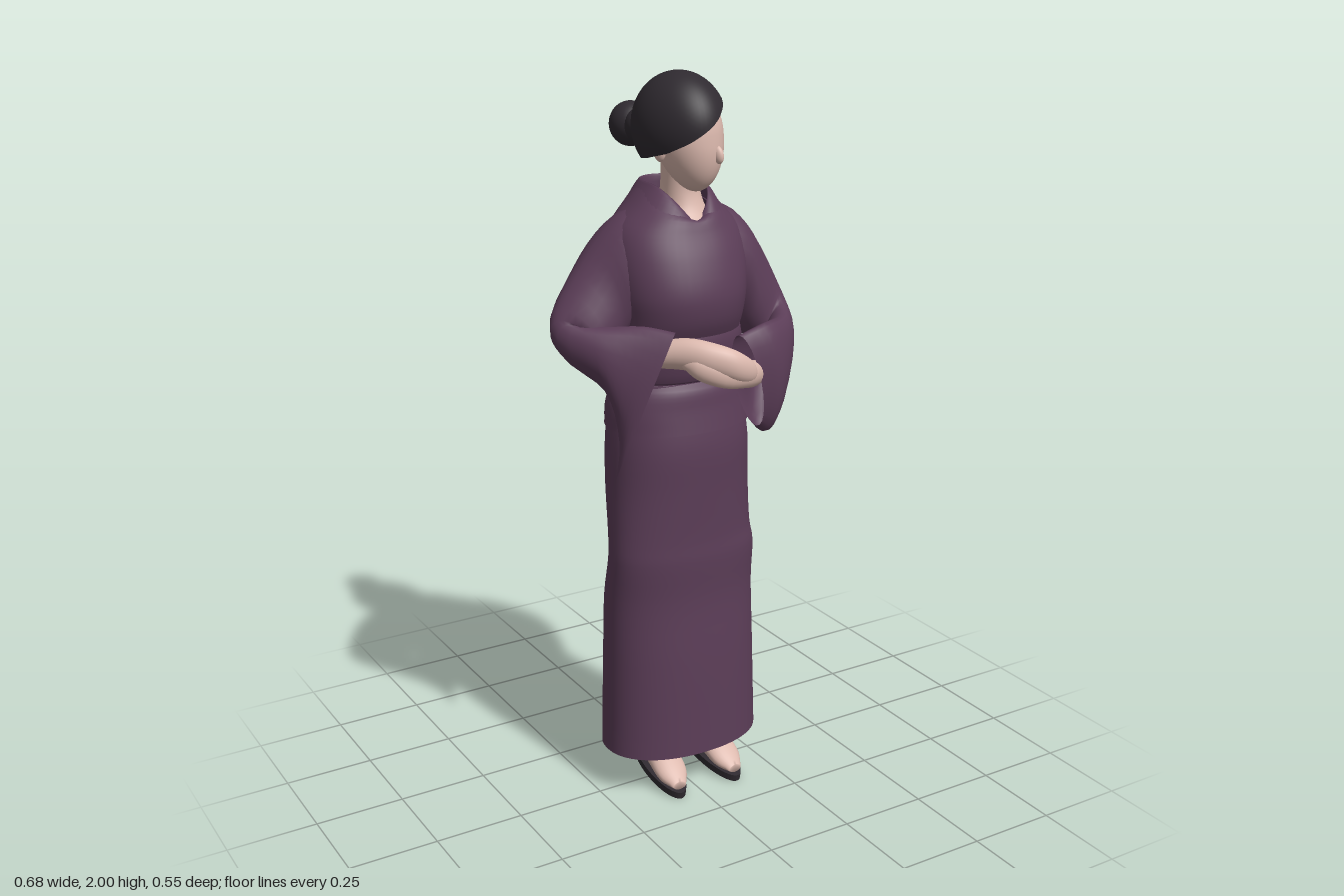
import * as THREE from 'three';

const V = (a) => new THREE.Vector3(...a);
const SEG = 48;

// Smooth surface through rings of matching points
function loft(rings, { steps = 4, flip = false, caps = false } = {}) {
  const cols = rings[0].length, rows = (rings.length - 1) * steps + 1;
  const pos = [], idx = [];
  const curves = rings[0].map((_, j) => new THREE.CatmullRomCurve3(rings.map((r) => r[j]), false, 'centripetal'));
  for (let i = 0; i < rows; i++)
    for (const c of curves) pos.push(...c.getPoint(i / (rows - 1)).toArray());
  const tri = (a, b, c) => (flip ? idx.push(a, c, b) : idx.push(a, b, c));
  for (let i = 0; i < rows - 1; i++)
    for (let j = 0; j < cols; j++) {
      const a = i * cols + j, b = i * cols + ((j + 1) % cols);
      tri(a, a + cols, b);
      tri(b, a + cols, b + cols);
    }
  if (caps) for (let j = 1; j < cols - 1; j++) {
    tri(0, j, j + 1);
    const e = (rows - 1) * cols;
    tri(e, e + j + 1, e + j);
  }
  const g = new THREE.BufferGeometry();
  g.setAttribute('position', new THREE.Float32BufferAttribute(pos, 3));
  g.setIndex(idx);
  g.computeVertexNormals();
  return g;
}

// Horizontal ring: height, x range, z range, depth of a V in the front edge
function level([y, x0, x1, z0, z1, drop = 0]) {
  return Array.from({ length: SEG }, (_, j) => {
    const a = (j / SEG) * Math.PI * 2, c = Math.cos(a), s = Math.sin(a);
    const sq = (t) => Math.sign(t) * Math.pow(Math.abs(t), 0.92);
    return V([(x0 + x1) / 2 + sq(c) * (x1 - x0) / 2, y - (s > 0 ? drop * (1 - Math.abs(c)) : 0),
      (z0 + z1) / 2 + sq(s) * (z1 - z0) / 2]);
  });
}

// Ring spanned by a top point, a bottom point and a half-thickness vector
function cuff([top, bottom, thick]) {
  const t = V(top), b = V(bottom), w = V(thick);
  const mid = t.clone().add(b).multiplyScalar(0.5), up = t.clone().sub(b).multiplyScalar(0.5);
  return Array.from({ length: 24 }, (_, j) => {
    const a = (j / 24) * Math.PI * 2;
    return mid.clone().addScaledVector(up, Math.cos(a)).addScaledVector(w, Math.sin(a));
  });
}

// Rounded limb along points [x, y, z, half height, half width]
function limb(pts) {
  return loft(pts.map(([x, y, z, h, w], i) => {
    const p = pts[Math.max(0, i - 1)], n = pts[Math.min(pts.length - 1, i + 1)];
    const dx = n[0] - p[0], dz = n[2] - p[2], l = Math.hypot(dx, dz);
    return cuff([[x, y + h, z], [x, y - h, z], [dz / l * w, 0, -dx / l * w]]);
  }), { caps: true });
}

// Linear lookup in a list of [key, value]
function lookup(table, k) {
  const i = Math.max(1, table.findIndex((e) => e[0] >= k));
  const [a, b] = [table[i - 1], table[i]];
  return THREE.MathUtils.lerp(a[1], b[1], (k - a[0]) / (b[0] - a[0]));
}

export function createModel() {
  const root = new THREE.Group();
  const mat = (name, color, side = THREE.FrontSide) => Object.assign(new THREE.MeshStandardMaterial({ color, side }), { name });
  const cloth = mat('plumCloth', 0x5b3d57, THREE.DoubleSide);
  const skin = mat('skin', 0xdcb9ae);
  const dark = mat('blackHair', 0x2f2a30, THREE.DoubleSide);
  const add = (name, geo, m, parent = root) => {
    const mesh = new THREE.Mesh(geo, m);
    mesh.name = name;
    parent.add(mesh);
    return mesh;
  };
  const ball = (name, m, p, s, parent) => {
    const b = add(name, new THREE.SphereGeometry(1, 28, 20), m, parent);
    b.position.set(...p);
    b.scale.set(...s);
    return b;
  };

  // Robe: skirt, waist fold, sash and upper body
  add('skirt', loft([
    [0.125, -0.218, 0.25, -0.165, 0.148], [0.4, -0.208, 0.245, -0.165, 0.135],
    [0.58, -0.203, 0.242, -0.155, 0.122], [0.7, -0.2, 0.238, -0.125, 0.125],
    [0.76, -0.197, 0.228, -0.13, 0.122], [0.9, -0.19, 0.226, -0.165, 0.122],
    [1.02, -0.185, 0.225, -0.176, 0.122], [1.12, -0.175, 0.21, -0.165, 0.105],
    [1.2, -0.16, 0.195, -0.145, 0.09]].map(level)), cloth);
  add('waistFold', loft([
    [1.07, -0.186, 0.226, -0.178, 0.127], [1.13, -0.182, 0.22, -0.174, 0.115],
    [1.18, -0.165, 0.205, -0.162, 0.106], [1.2, -0.15, 0.19, -0.145, 0.09]].map(level)), cloth);
  add('sash', loft([
    [1.2, -0.145, 0.18, -0.14, 0.085], [1.21, -0.155, 0.192, -0.153, 0.102],
    [1.33, -0.156, 0.194, -0.168, 0.118], [1.34, -0.145, 0.182, -0.15, 0.1]].map(level)), cloth);
  add('upperRobe', loft([
    [1.2, -0.145, 0.18, -0.14, 0.09], [1.3, -0.15, 0.187, -0.158, 0.105],
    [1.37, -0.155, 0.195, -0.175, 0.135], [1.44, -0.165, 0.205, -0.187, 0.142], [1.53, -0.165, 0.215, -0.198, 0.115],
    [1.6, -0.145, 0.205, -0.205, 0.083, 0.01], [1.655, -0.09, 0.155, -0.203, 0.06, 0.03],
    [1.705, -0.04, 0.12, -0.192, 0.03, 0.095]].map(level)), cloth);
  add('collar', loft([
    [1.655, -0.085, 0.15, -0.208, 0.074, 0.065], [1.7, -0.046, 0.126, -0.2, 0.05, 0.092],
    [1.71, -0.036, 0.114, -0.188, 0.036, 0.1], [1.66, -0.045, 0.12, -0.182, 0.04, 0.06]].map(level)), cloth);

  // Wide hanging sleeves
  add('leftSleeve', loft([
    [[0.11, 1.665, -0.06], [0.1, 1.38, -0.04], [0, 0, 0.11]],
    [[0.19, 1.63, -0.055], [0.15, 1.35, -0.04], [0.02, 0, 0.115]],
    [[0.28, 1.52, -0.03], [0.2, 1.3, -0.02], [-0.02, 0, 0.1]],
    [[0.31, 1.4, 0.04], [0.26, 1.24, 0.02], [-0.045, 0, 0.045]],
    [[0.265, 1.36, 0.11], [0.23, 1.16, 0.095], [-0.045, 0, -0.025]],
    [[0.17, 1.36, 0.17], [0.185, 1.055, 0.155], [-0.03, 0, -0.045]],
    [[0.085, 1.34, 0.18], [0.15, 1.08, 0.17], [-0.02, 0, -0.035]]].map(cuff), { flip: true }), cloth);
  add('rightSleeve', loft([
    [[-0.06, 1.665, -0.08], [-0.07, 1.38, -0.05], [0, 0, 0.1]],
    [[-0.14, 1.62, -0.085], [-0.13, 1.34, -0.05], [0, 0, 0.11]],
    [[-0.23, 1.52, -0.08], [-0.18, 1.29, -0.05], [0.02, 0, 0.085]],
    [[-0.315, 1.385, -0.035], [-0.275, 1.265, -0.01], [0.04, 0, 0.04]],
    [[-0.24, 1.37, 0.015], [-0.215, 1.19, 0.02], [0.04, 0, -0.04]],
    [[-0.15, 1.375, 0.085], [-0.205, 1.06, 0.06], [0.035, 0, -0.04]],
    [[-0.09, 1.365, 0.15], [-0.235, 0.975, 0.09], [0.022, 0, -0.03]]].map(cuff)), cloth);

  // Folded forearms and hands, and the bare elbow behind
  add('rightForearm', limb([
    [-0.13, 1.3, 0.1, 0.034, 0.034], [-0.07, 1.31, 0.17, 0.042, 0.034], [-0.02, 1.3, 0.22, 0.044, 0.032],
    [0.03, 1.283, 0.248, 0.042, 0.026], [0.08, 1.26, 0.238, 0.032, 0.02], [0.11, 1.245, 0.215, 0.012, 0.01]]), skin);
  add('leftForearm', limb([
    [0.16, 1.225, 0.15, 0.03, 0.03], [0.12, 1.235, 0.19, 0.036, 0.03], [0.07, 1.25, 0.232, 0.036, 0.026],
    [0, 1.26, 0.24, 0.034, 0.02], [-0.06, 1.28, 0.21, 0.03, 0.018], [-0.085, 1.29, 0.18, 0.012, 0.01]]), skin);
  add('bareElbow', limb([
    [0.05, 1.4, -0.187, 0.014, 0.014], [0.1, 1.385, -0.178, 0.036, 0.023], [0.15, 1.365, -0.163, 0.056, 0.03],
    [0.21, 1.355, -0.14, 0.065, 0.034], [0.25, 1.355, -0.11, 0.05, 0.028], [0.28, 1.36, -0.075, 0.02, 0.012]]), skin);

  // Neck and chest
  add('neck', loft([
    [1.5, -0.08, 0.15, -0.13, 0.07], [1.6, -0.06, 0.13, -0.13, 0.058], [1.65, -0.02, 0.1, -0.11, 0.03],
    [1.7, -0.015, 0.085, -0.09, 0.018], [1.8, -0.02, 0.085, -0.08, 0.03]].map(level)), skin);

  // Head, turned a little to its left
  const head = new THREE.Group();
  head.name = 'head';
  head.position.set(0.027, 1.86, -0.027);
  head.rotation.y = 0.42;
  root.add(head);

  const face = new THREE.SphereGeometry(1, 36, 28);
  const fp = face.attributes.position;
  for (let i = 0; i < fp.count; i++) {
    const y = fp.getY(i), t = Math.max(0, -y);
    fp.setXYZ(i, fp.getX(i) * 0.088 * (1 - 0.15 * t), y * 0.135 - 0.03,
      fp.getZ(i) * 0.094 * (1 - 0.1 * t) + 0.028 + 0.024 * t);
  }
  face.computeVertexNormals();
  add('face', face, skin, head);
  ball('nose', skin, [0, -0.065, 0.121], [0.011, 0.024, 0.016], head).rotation.x = -0.3;
  for (const s of [-1, 1]) ball('ear', skin, [s * 0.086, -0.055, 0.0], [0.01, 0.028, 0.018], head);

  // Hair cap whose lower edge sweeps across the forehead
  const edge = [[-180, 2.3], [-110, 2.15], [-75, 2.0], [-50, 1.8], [-25, 1.53], [0, 1.26], [25, 1.05],
    [45, 1.1], [62, 1.4], [78, 1.8], [110, 2.15], [180, 2.3]];
  const hairRings = [];
  for (let i = 0; i <= 16; i++)
    hairRings.push(Array.from({ length: 60 }, (_, j) => {
      const deg = 180 - j * 6, a = deg * Math.PI / 180;
      const th = Math.max(0.01, lookup(edge, deg) * i / 16);
      const bulge = 1 + 0.09 * Math.exp(-(((deg + 35) / 35) ** 2)) * Math.sin(th) ** 2;
      const r = Math.sin(th) * bulge;
      return V([Math.sin(a) * r * 0.109, Math.cos(th) * 0.14, Math.cos(a) * r * 0.133]);
    }));
  add('hair', loft(hairRings, { steps: 1, flip: true }), dark, head);

  // Bun and the gathered hair leading to it
  ball('bun', dark, [-0.01, 1.845, -0.216], [0.058, 0.06, 0.058]);
  ball('bunTie', dark, [-0.005, 1.845, -0.16], [0.048, 0.05, 0.055]);

  // Feet on tilted dark soles
  const outline = new THREE.Shape().absellipse(0, 0, 0.046, 0.14, 0, Math.PI * 2);
  const soleGeo = new THREE.ExtrudeGeometry(outline, { depth: 0.02, bevelEnabled: false, curveSegments: 24 });
  soleGeo.rotateX(-Math.PI / 2);
  for (const [side, x, turn] of [['right', -0.062, -0.06], ['left', 0.107, 0.06]]) {
    const foot = new THREE.Group();
    foot.name = side + 'Foot';
    foot.position.x = x;
    foot.rotation.y = turn;
    root.add(foot);
    const sole = add('sole', soleGeo, dark, foot);
    sole.position.set(0, 0.026, 0.015);
    sole.rotation.x = 0.17;
    add('footSkin', limb([
      [0, 0.09, -0.118, 0.018, 0.016], [0, 0.1, -0.09, 0.04, 0.035], [0, 0.1, -0.03, 0.05, 0.04],
      [0, 0.078, 0.04, 0.04, 0.046], [0, 0.054, 0.1, 0.028, 0.043], [0, 0.038, 0.142, 0.012, 0.02]]), skin, foot);
    add('ankle', new THREE.CylinderGeometry(0.045, 0.036, 0.25, 20), skin, foot).position.set(0, 0.22, -0.06);
  }
  return root;
}
